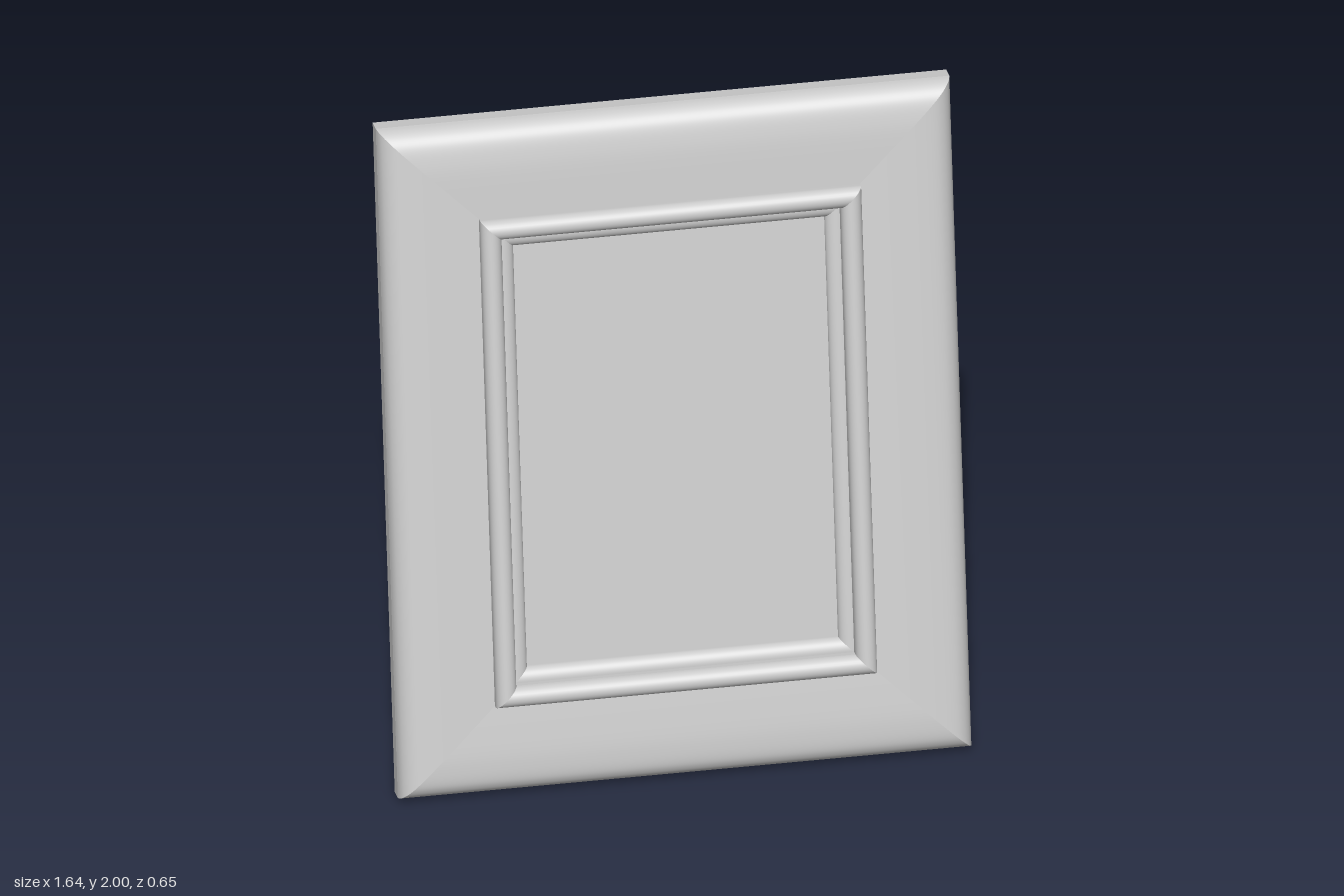
import * as THREE from 'three';
import { mergeGeometries } from 'three/addons/utils/BufferGeometryUtils.js';

const HALF_W = 0.82, HALF_H = 1.01, TILT = THREE.MathUtils.degToRad(10);

// Sweeps a profile of [inset, height] pairs around the rectangle with mitred corners;
// the surface is smooth along the profile and sharp at each mitre.
function mitred(profile) {
  const corners = [[-1, -1], [1, -1], [1, 1], [-1, 1]];
  const sides = corners.map((a, s) => {
    const b = corners[(s + 1) % 4], pos = [], idx = [];
    profile.forEach(([d, n], i) => {
      for (const c of [a, b]) pos.push(c[0] * (HALF_W - d), c[1] * (HALF_H - d), n);
      if (i) {
        const k = 2 * (i - 1);
        idx.push(k, k + 1, k + 3, k, k + 3, k + 2);
      }
    });
    const g = new THREE.BufferGeometry();
    g.setAttribute('position', new THREE.Float32BufferAttribute(pos, 3));
    g.setIndex(idx);
    g.computeVertexNormals();
    return g;
  });
  return mergeGeometries(sides);
}

// Elliptical arc in profile space, angles in degrees
function arc(cd, cn, rd, rn, from, to, steps = 14) {
  return Array.from({ length: steps + 1 }, (_, i) => {
    const t = THREE.MathUtils.degToRad(from + (to - from) * i / steps);
    return [cd + rd * Math.cos(t), cn + rn * Math.sin(t)];
  });
}

export function createModel() {
  const model = new THREE.Group();
  const grey = new THREE.MeshStandardMaterial({ color: 0xcccccc });
  grey.name = 'light grey';

  const add = (parent, name, geometry, x = 0, y = 0, z = 0) => {
    const mesh = new THREE.Mesh(geometry, grey);
    mesh.name = name;
    mesh.position.set(x, y, z);
    parent.add(mesh);
    return mesh;
  };

  // Leaning frame: pivots on its lower back edge
  const frame = new THREE.Group();
  frame.name = 'leaningFrame';
  frame.position.set(0, 0, 0.222);
  frame.rotation.x = -TILT;
  model.add(frame);

  const face = new THREE.SplineCurve([
    [0, 0.05], [0.004, 0.067], [0.012, 0.083], [0.027, 0.098], [0.05, 0.109],
    [0.09, 0.115], [0.15, 0.117], [0.275, 0.113],
  ].map(p => new THREE.Vector2(...p))).getPoints(28).map(p => [p.x, p.y]);

  add(frame, 'frameFace', mitred(face), 0, HALF_H);
  add(frame, 'frameEdge', mitred([[0, 0], [0, 0.05]]), 0, HALF_H);
  add(frame, 'frameBack', mitred([[0.275, 0], [0, 0]]), 0, HALF_H);
  add(frame, 'backRecessWall', mitred([[0.275, 0.022], [0.275, 0]]), 0, HALF_H);

  // Inner mouldings: a raised half round and a smaller lower step
  add(frame, 'outerBead', mitred([[0.275, 0.105], ...arc(0.305, 0.128, 0.03, 0.032, 180, 0)]), 0, HALF_H);
  add(frame, 'beadStep', mitred([[0.335, 0.128], [0.335, 0.108]]), 0, HALF_H);
  add(frame, 'innerBead', mitred(arc(0.341, 0.08, 0.034, 0.03, 100, 0)), 0, HALF_H);

  // Picture panel, also the floor of the back recess
  add(frame, 'picturePanel', new THREE.BoxGeometry(1.09, 1.47, 0.058), 0, HALF_H, 0.051);

  // Easel stand
  const stand = new THREE.Group();
  stand.name = 'stand';
  stand.position.set(-0.013, 1.155, 0.011);
  stand.rotation.x = 0.27;
  model.add(stand);

  const hinge = new THREE.CylinderGeometry(0.025, 0.025, 0.32, 32);
  hinge.rotateZ(Math.PI / 2);
  add(stand, 'hinge', hinge);

  // Tapered leg with rounded feet and a scooped lower edge
  const leg = new THREE.Shape();
  leg.moveTo(-0.138, 0);
  leg.lineTo(-0.228, -1.145);
  leg.quadraticCurveTo(-0.232, -1.195, -0.195, -1.195);
  leg.bezierCurveTo(-0.13, -1.195, -0.09, -1.145, 0, -1.145);
  leg.bezierCurveTo(0.09, -1.145, 0.13, -1.195, 0.195, -1.195);
  leg.quadraticCurveTo(0.232, -1.195, 0.228, -1.145);
  leg.lineTo(0.138, 0);
  leg.closePath();
  const legGeometry = new THREE.ExtrudeGeometry(leg, { depth: 0.025, bevelEnabled: false, curveSegments: 16 });
  add(stand, 'leg', legGeometry, 0, 0, -0.0125);

  return model;
}
